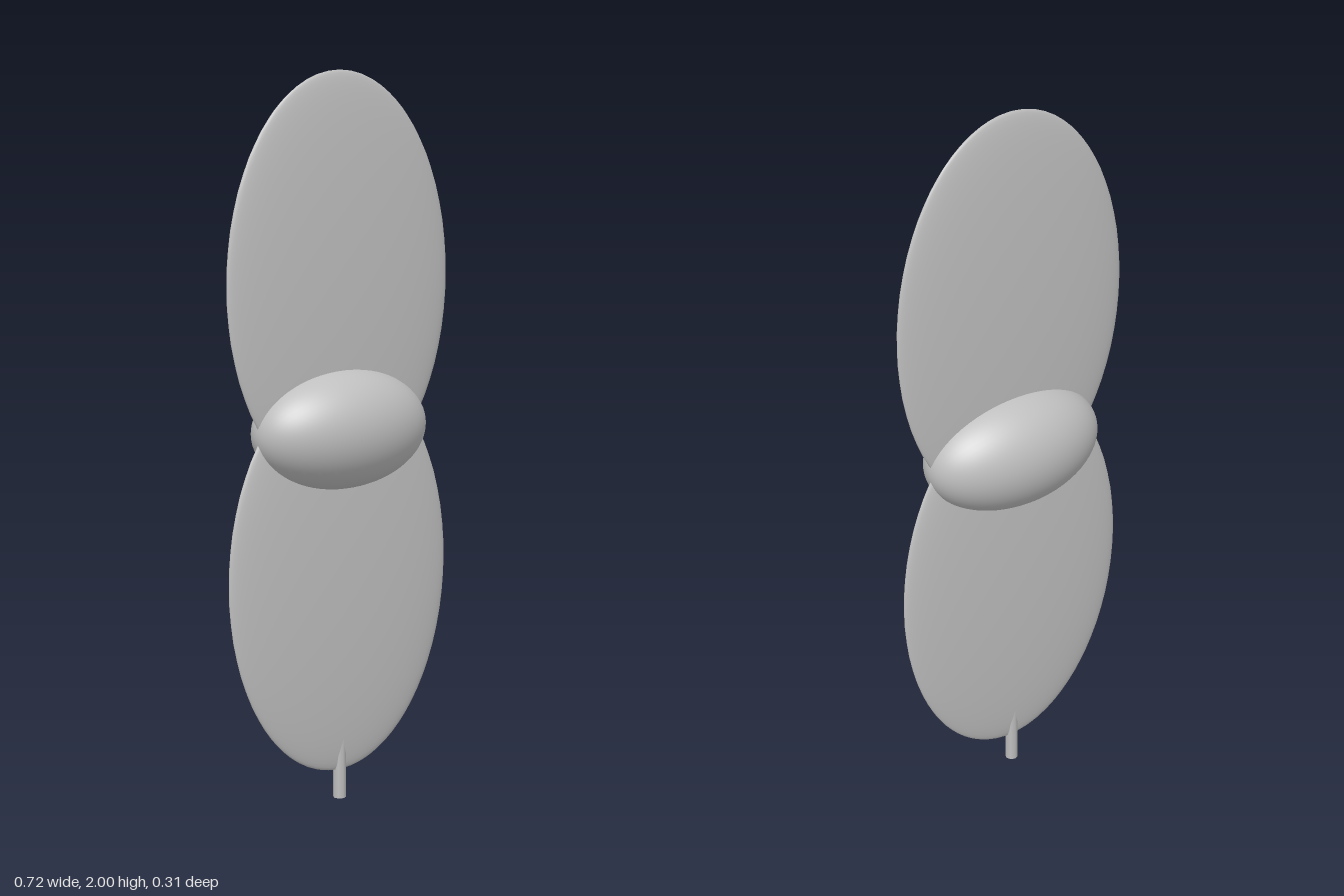
import * as THREE from 'three';

export function createModel() {
  const model = new THREE.Group();
  const grey = new THREE.MeshStandardMaterial({ color: 0xbfbfbf });
  grey.name = 'plain grey';

  // Finely faceted ellipsoid with half-sizes rx, ry, rz, centred at height y
  function ellipsoid(name, y, rx, ry, rz) {
    const geometry = new THREE.IcosahedronGeometry(1, 11);
    geometry.scale(rx, ry, rz);
    const mesh = new THREE.Mesh(geometry, grey);
    mesh.name = name;
    mesh.position.y = y;
    model.add(mesh);
  }

  // Two thin oval pads, overlapping inside the joint
  ellipsoid('lowerPad', 0.64, 0.362, 0.56, 0.033);
  ellipsoid('upperPad', 1.44, 0.362, 0.56, 0.033);

  // Plump oval body over the joint
  ellipsoid('centreBody', 1.04, 0.27, 0.165, 0.157);

  // Short stem running up into the lower pad
  const stem = new THREE.Mesh(new THREE.CylinderGeometry(0.018, 0.018, 0.24, 8), grey);
  stem.name = 'stem';
  stem.position.y = 0.12;
  model.add(stem);

  return model;
}
